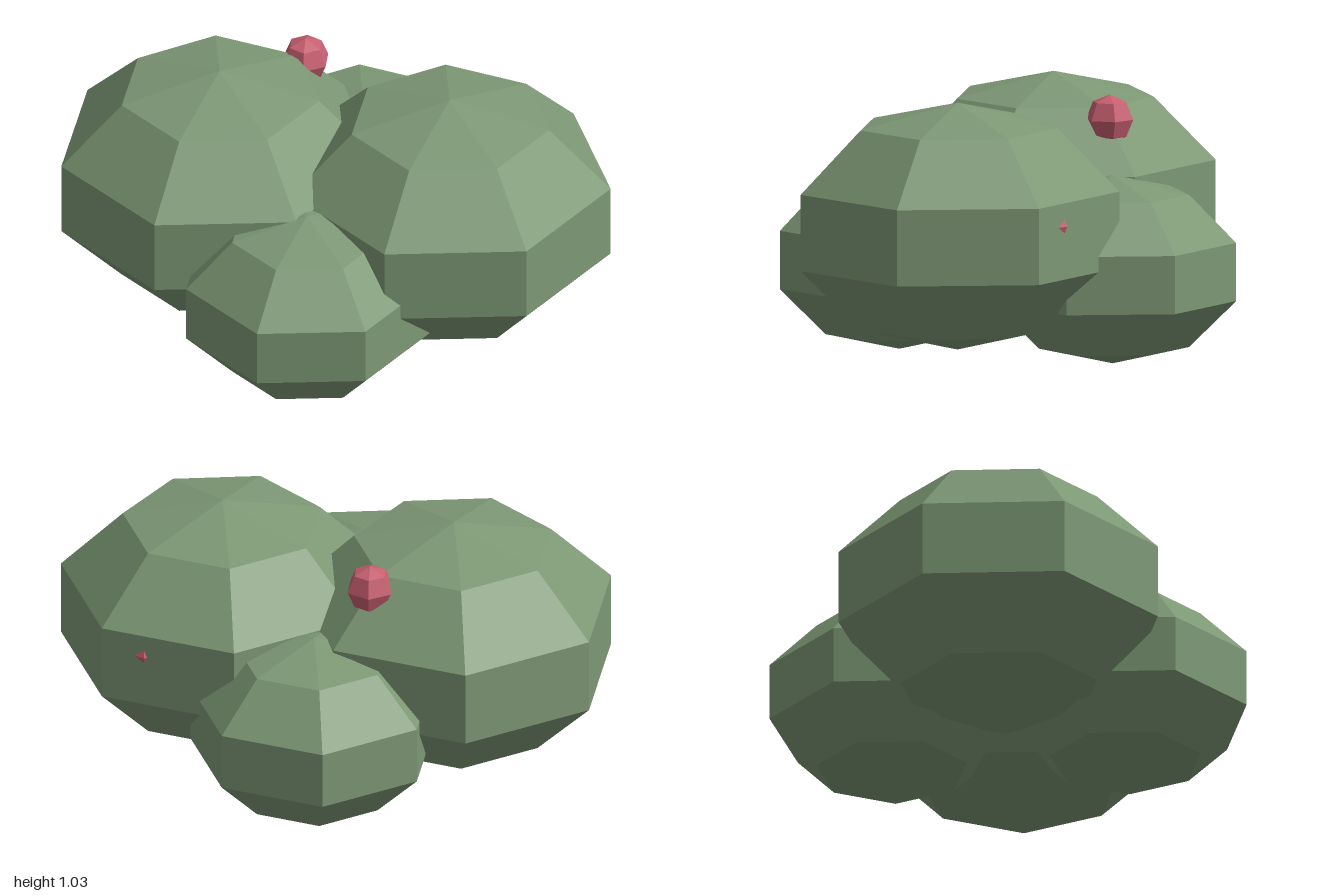
import * as THREE from 'three';

const leafMaterial = new THREE.MeshStandardMaterial({ color: 0x7d9875, flatShading: true });
const berryMaterial = new THREE.MeshStandardMaterial({ color: 0xc75f70, flatShading: true });

// Faceted ball with one corner turned towards -z, scaled to its radii
function ball(name, material, sides, rows, [x, y, z], radius, height) {
  const geometry = new THREE.SphereGeometry(1, sides, rows);
  geometry.rotateY(-Math.PI / 2);
  geometry.scale(radius, height, radius);
  const mesh = new THREE.Mesh(geometry, material);
  mesh.name = name;
  mesh.position.set(x, y, z);
  return mesh;
}

export function createModel() {
  const bush = new THREE.Group();
  bush.name = 'bush';

  // Squashed seven-sided foliage clumps: two large, two small
  const clumps = [
    ['frontFoliage', [0.175, 0.558, 0.44], 0.652],
    ['backFoliage', [-0.178, 0.558, -0.38], 0.652],
    ['rightFoliage', [-0.41, 0.36, 0.2], 0.497],
    ['leftFoliage', [0.41, 0.36, -0.142], 0.497],
  ];
  for (const [name, position, radius] of clumps) {
    bush.add(ball(name, leafMaterial, 7, 5, position, radius, radius * 0.724));
  }

  // Six-sided berries, partly sunk into the foliage
  const berries = [
    ['backBerry', [0.24, 0.902, -0.283]],
    ['frontBerry', [0.67, 0.615, 0.4515]],
  ];
  for (const [name, position] of berries) {
    bush.add(ball(name, berryMaterial, 6, 4, position, 0.093, 0.093));
  }

  return bush;
}
